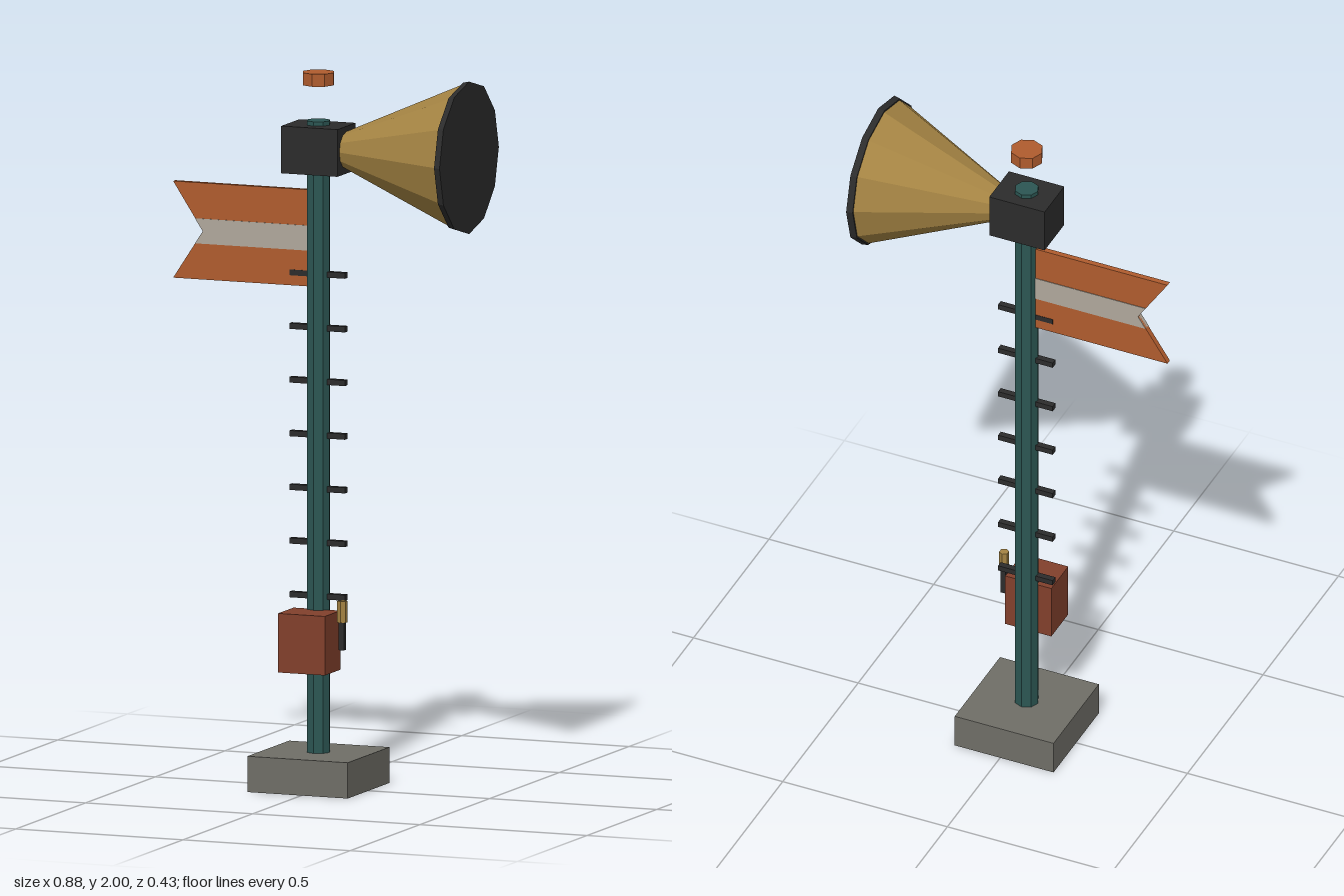
import * as THREE from 'three';

const mat = (name, color) => {
  const m = new THREE.MeshStandardMaterial({ color });
  m.name = name;
  m.flatShading = true;
  return m;
};

export function createModel() {
  const concrete = mat('concrete', 0x6f6e67);
  const teal = mat('teal paint', 0x2c5653);
  const iron = mat('dark iron', 0x2c2c2c);
  const brass = mat('brass', 0xa58443);
  const orange = mat('orange paint', 0xb05c2e);
  const pale = mat('pale stripe', 0xb0a89c);
  const red = mat('rust red', 0x82402c);

  const group = new THREE.Group();
  group.name = 'signalPost';
  const cx = -0.012; // post axis

  const add = (name, geometry, material, x, y, z) => {
    const mesh = new THREE.Mesh(geometry, material);
    mesh.name = name;
    mesh.position.set(x, y, z);
    group.add(mesh);
    return mesh;
  };
  const box = (name, material, w, h, d, x, y, z) =>
    add(name, new THREE.BoxGeometry(w, h, d), material, x, y, z);
  const cylinder = (name, material, rTop, rBottom, h, sides, x, y, z) =>
    add(name, new THREE.CylinderGeometry(rTop, rBottom, h, sides), material, x, y, z);

  // Base, post and floating cap
  box('base', concrete, 0.3, 0.1, 0.3, cx, 0.05, 0);
  cylinder('post', teal, 0.034, 0.034, 1.765, 8, cx, 0.9825, 0);
  cylinder('cap', orange, 0.046, 0.046, 0.035, 8, cx, 1.9825, 0);

  // Climbing rungs through the post
  for (let i = 0; i < 7; i++) {
    box('rung', iron, 0.166, 0.016, 0.018, cx, 0.536 + i * 0.15, 0);
  }

  // Horn pointing to +x with its housing and closed rim
  box('hornHousing', iron, 0.168, 0.132, 0.13, cx, 1.787, 0);
  const horn = cylinder('horn', brass, 0.205, 0.047, 0.36, 12, 0.242, 1.787, 0);
  const rim = cylinder('hornRim', iron, 0.213, 0.209, 0.018, 12, 0.43, 1.787, 0);
  horn.rotation.z = rim.rotation.z = -Math.PI / 2;

  // Swallow-tailed arm, with a stripe that follows the notch
  const root = -0.03, tip = -0.443, notch = -0.354, half = 0.135, midY = 1.535;
  const swallowtail = (h, depth) => {
    const endX = notch + (tip - notch) * h / half;
    const shape = new THREE.Shape([
      new THREE.Vector2(root, -h), new THREE.Vector2(root, h),
      new THREE.Vector2(endX, h), new THREE.Vector2(notch, 0),
      new THREE.Vector2(endX, -h),
    ]);
    return new THREE.ExtrudeGeometry(shape, { depth, bevelEnabled: false })
      .translate(0, 0, -depth / 2);
  };
  add('signalArm', swallowtail(half, 0.016), orange, 0, midY, 0);
  add('armStripe', swallowtail(0.035, 0.019), pale, 0, midY, 0);

  // Control box and its side lever
  box('controlBox', red, 0.14, 0.165, 0.112, cx, 0.4175, 0.066);
  box('lever', iron, 0.016, 0.09, 0.016, 0.087, 0.445, 0.066);
  cylinder('leverHandle', brass, 0.014, 0.014, 0.06, 6, 0.087, 0.507, 0.066);

  return group;
}
